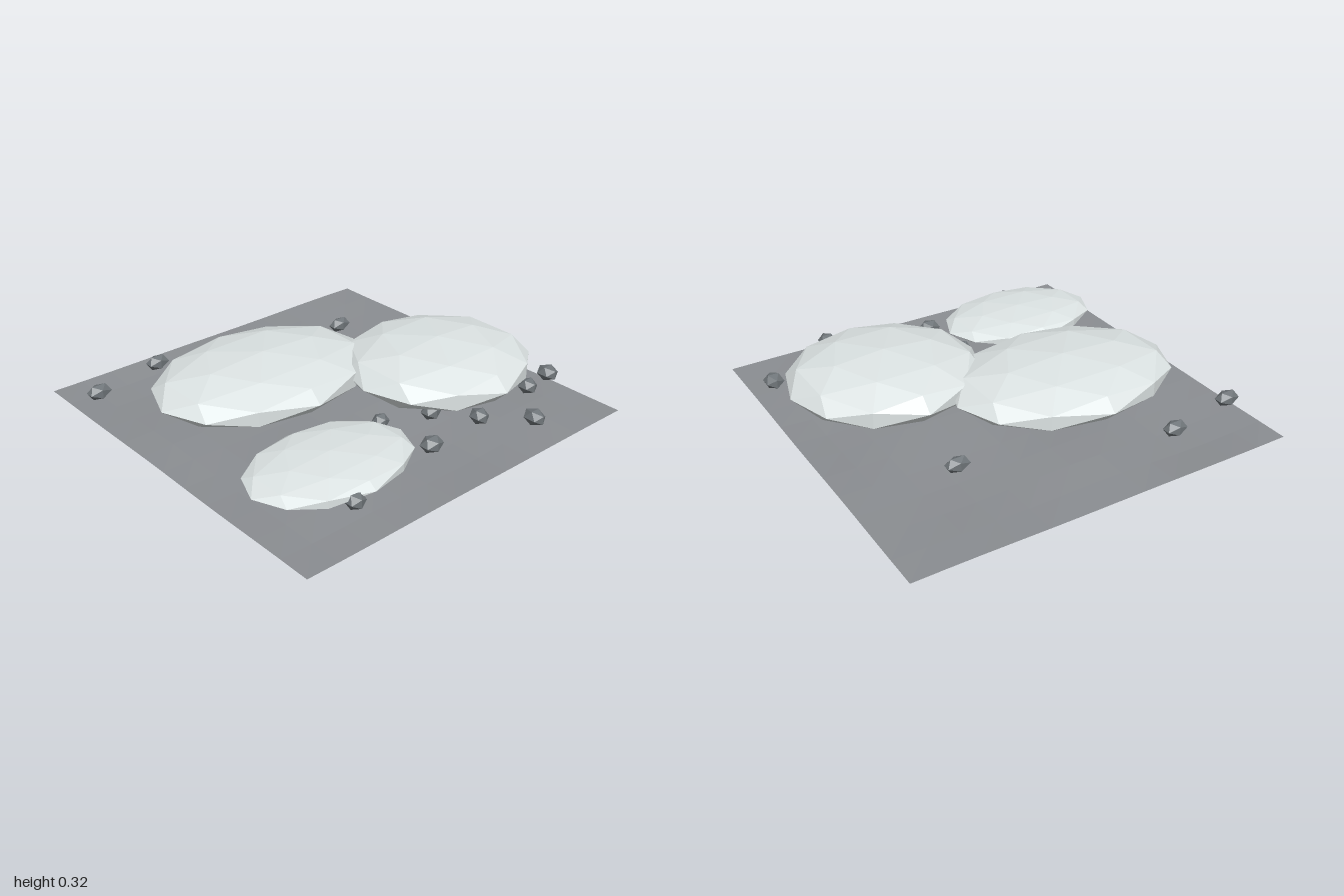
import * as THREE from 'three';

const makeMaterial = (name, color, side = THREE.FrontSide) => {
  const m = new THREE.MeshStandardMaterial({ color, flatShading: true, side });
  m.name = name;
  return m;
};

export function createModel() {
  const model = new THREE.Group();
  model.name = 'rockyGround';
  const paleStone = makeMaterial('pale stone', 0xdde4e4);
  const darkStone = makeMaterial('dark stone', 0x70767a);
  const groundGrey = makeMaterial('ground grey', 0x8b8e92, THREE.DoubleSide);

  // Thin ground sheet with faint ripples between y = 0 and y = 0.02
  const sheet = new THREE.PlaneGeometry(2, 2, 12, 12).rotateX(-Math.PI / 2);
  const p = sheet.attributes.position;
  for (let i = 0; i < p.count; i++) {
    const x = p.getX(i), z = p.getZ(i);
    const edge = Math.max(Math.abs(x), Math.abs(z)) > 0.99;
    const ripple = Math.sin(x * 5 + z * 2) * Math.cos(z * 5 - x);
    p.setY(i, edge ? 0.016 + 0.003 * ripple : 0.012 + 0.01 * ripple);
  }
  sheet.computeBoundingBox();
  sheet.translate(0, -sheet.boundingBox.min.y, 0);
  sheet.computeVertexNormals();
  const ground = new THREE.Mesh(sheet, groundGrey);
  ground.name = 'ground';
  model.add(ground);

  // Faceted stone squashed to the given half sizes
  const addStone = (name, geometry, material, position, scale) => {
    const stone = new THREE.Mesh(geometry, material);
    stone.name = name;
    stone.position.set(...position);
    stone.scale.set(...scale);
    model.add(stone);
  };

  // Three large flattened boulders
  const boulder = new THREE.IcosahedronGeometry(1, 1);
  addStone('backBoulder', boulder, paleStone, [-0.27, 0.184, -0.2], [0.592, 0.12, 0.43]);
  addStone('frontRightBoulder', boulder, paleStone, [-0.5, 0.126, 0.56], [0.43, 0.062, 0.296]);
  addStone('frontLeftBoulder', boulder, paleStone, [0.464, 0.19, 0.265], [0.495, 0.132, 0.465]);

  // Scattered pebbles: x, z, width, depth
  const pebble = new THREE.IcosahedronGeometry(1, 0);
  const reach = 0.8507; // extent of a unit icosahedron along each axis
  [
    [-0.905, -0.695, 0.115, 0.075], [-0.515, -0.775, 0.112, 0.072],
    [0.495, -0.5, 0.115, 0.065], [-0.065, 0.42, 0.08, 0.07],
    [-0.03, 0.72, 0.105, 0.085], [0.32, 0.69, 0.078, 0.09],
    [0.725, 0.645, 0.083, 0.09], [0.91, 0.62, 0.09, 0.1],
    [0.508, 0.868, 0.08, 0.105], [-0.59, 0.825, 0.085, 0.08],
    [0.18, 0.51, 0.09, 0.08],
  ].forEach(([x, z, w, d], i) => addStone(
    `pebble${i + 1}`, pebble, darkStone, [x, 0.105, z],
    [w / 2 / reach, 0.035 / reach, d / 2 / reach],
  ));

  return model;
}
